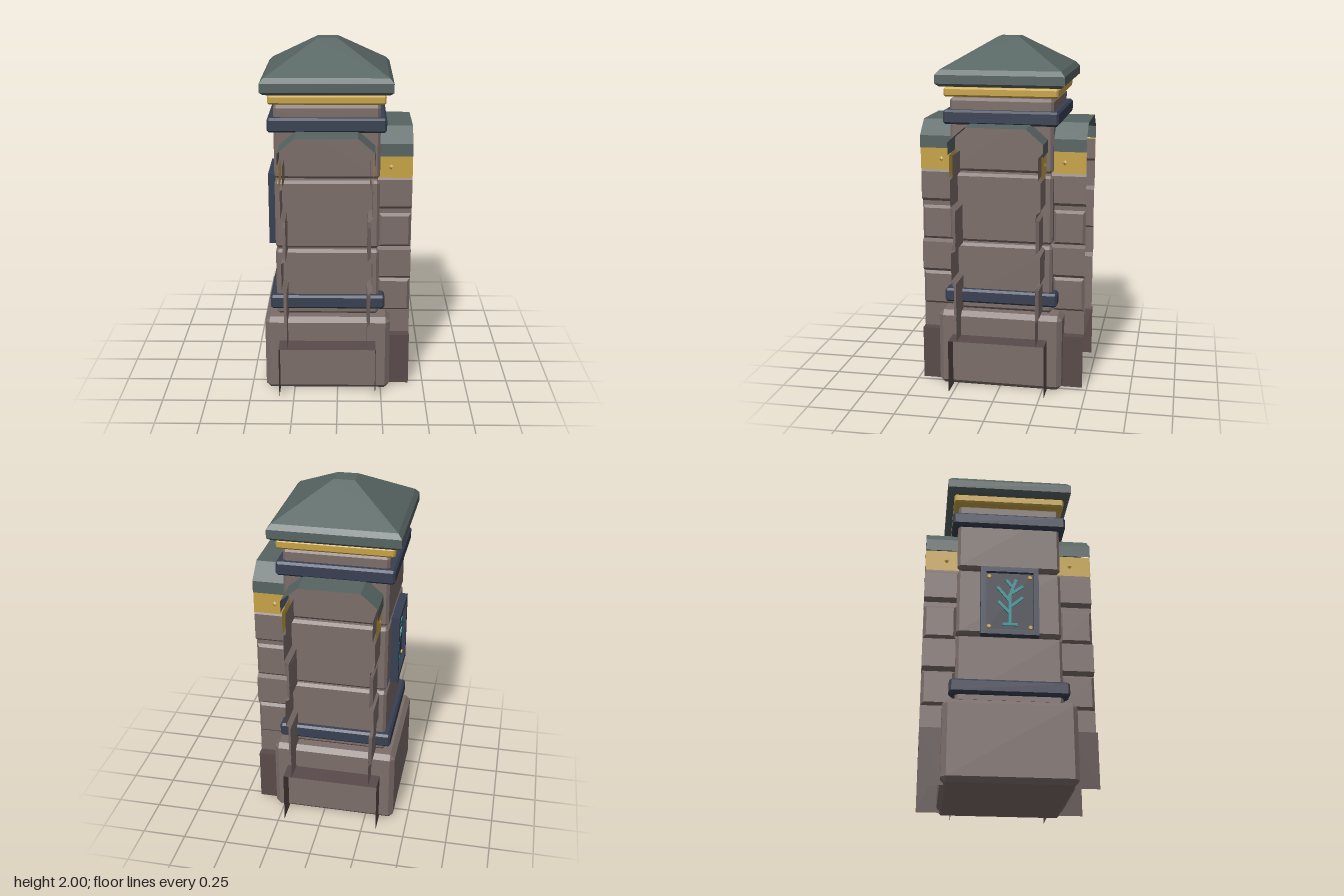
import * as THREE from 'three';
import { ConvexGeometry } from 'three/addons/geometries/ConvexGeometry.js';

const CX = -0.058; // centre line of the pillar in x

function makeMaterials() {
  const colours = {
    stone: 0x7c6e6a, darkStone: 0x5a4b4a, slate: 0x566462, gold: 0xc8a447,
    navy: 0x384052, darkPanel: 0x2c3240, teal: 0x108a90,
  };
  const mats = {};
  for (const [name, color] of Object.entries(colours)) {
    mats[name] = new THREE.MeshStandardMaterial({ color });
    mats[name].name = name;
  }
  // thin open shells use these
  for (const n of ['stone', 'darkStone', 'slate', 'gold']) mats[n].side = THREE.DoubleSide;
  return mats;
}

function add(parent, name, geometry, material) {
  const mesh = new THREE.Mesh(geometry, material);
  mesh.name = name;
  parent.add(mesh);
  return mesh;
}

// Box with every edge chamfered by b
function chamferBox(w, y0, y1, d, b) {
  const h = [w / 2, (y1 - y0) / 2, d / 2];
  const pts = [];
  for (const sx of [-1, 1]) for (const sy of [-1, 1]) for (const sz of [-1, 1]) {
    for (let full = 0; full < 3; full++) {
      const p = h.map((v, i) => (i === full ? v : v - b));
      pts.push(new THREE.Vector3(p[0] * sx, p[1] * sy, p[2] * sz));
    }
  }
  return new ConvexGeometry(pts).translate(0, (y0 + y1) / 2, 0);
}

// Stack of rectangles [halfX, y, halfZ] wrapped as one solid
function stackedSolid(levels) {
  const pts = [];
  for (const [hx, y, hz] of levels)
    for (const sx of [-1, 1]) for (const sz of [-1, 1])
      pts.push(new THREE.Vector3(sx * hx, y, sz * hz));
  return new ConvexGeometry(pts);
}

// Open sheet: a polyline in x,y swept along z
function sheet(line, z0, z1) {
  const pos = [];
  for (let i = 0; i + 1 < line.length; i++) {
    const [a, b] = [line[i], line[i + 1]];
    pos.push(...a, z0, ...b, z0, ...b, z1, ...a, z0, ...b, z1, ...a, z1);
  }
  const g = new THREE.BufferGeometry();
  g.setAttribute('position', new THREE.Float32BufferAttribute(pos, 3));
  g.computeVertexNormals();
  return g;
}

const mirrorLine = (line) => line.map(([x, y]) => [-x, y]).reverse();

// Bevelled stone panel on the side of a wall stub
function panel(side, y0, y1, z0, z1) {
  const pts = [];
  for (const [x, inset] of [[0.224, 0], [0.241, 0.016]])
    for (const y of [y0 + inset, y1 - inset]) for (const z of [z0 + inset, z1 - inset])
      pts.push(new THREE.Vector3(side * x, y, z));
  return new ConvexGeometry(pts);
}

// Open-ended wall stub that reaches out along +z
function wallStub(m) {
  const g = new THREE.Group();
  g.name = 'wallStub';
  const end = 0.473;
  const wall = [[0.225, 0.31], [0.225, 0.65], [0.25, 0.67], [0.25, 0.83], [0.225, 0.845],
    [0.225, 1.07], [0.25, 1.09], [0.25, 1.245], [0.235, 1.26], [0.235, 1.38]];
  const trim = [[0.254, 1.26], [0.254, 1.385]];
  for (const side of [1, -1]) {
    const pick = (line) => (side > 0 ? line : mirrorLine(line));
    add(g, 'stubWall', sheet(pick(wall), 0.28, end), m.stone);
    add(g, 'stubTrim', sheet(pick(trim), 0.28, end), m.gold);
    for (const y of [0.45, 0.845]) add(g, 'stubPanel', panel(side, y, y + 0.2, 0.29, end), m.stone);
    // small pointed stud on the trim
    const stud = new THREE.ConeGeometry(0.017, 0.012, 4).rotateZ(-side * Math.PI / 2);
    add(g, 'trimStud', stud, m.gold).position.set(side * 0.259, 1.322, 0.353);
  }
  const plinth = [[0.275, 0], [0.275, 0.31], [-0.275, 0.31], [-0.275, 0]];
  add(g, 'stubPlinth', sheet(plinth, 0.34, end), m.darkStone);
  const roof = [[0.262, 1.385], [0.262, 1.455], [0.168, 1.537],
    [-0.168, 1.537], [-0.262, 1.455], [-0.262, 1.385]];
  add(g, 'stubRoof', sheet(roof, 0.27, end), m.slate);
  return g;
}

// Framed plaque with a branching emblem; faces +z before it is turned
function plaque(m) {
  const g = new THREE.Group();
  g.name = 'plaque';
  const bar = (name, w, h, d, x, y, z, mat) =>
    add(g, name, new THREE.BoxGeometry(w, h, d), mat).position.set(x, y, z);
  bar('plaquePanel', 0.3, 0.39, 0.026, 0, 1.045, 0.302, m.darkPanel);
  for (const s of [-1, 1]) {
    bar('frameUpright', 0.03, 0.416, 0.046, s * 0.147, 1.045, 0.314, m.navy);
    bar('frameRail', 0.264, 0.03, 0.046, 0, 1.045 + s * 0.193, 0.314, m.navy);
    for (const t of [-1, 1]) {
      const stud = new THREE.CylinderGeometry(0.011, 0.013, 0.01, 8).rotateX(Math.PI / 2);
      add(g, 'plaqueStud', stud, m.gold).position.set(s * 0.115, 1.045 + t * 0.155, 0.319);
    }
  }
  // emblem strokes: x0, y0, x1, y1
  const strokes = [
    [0, 0.91, 0, 1.08], [0, 1.08, 0.035, 1.18], [-0.035, 0.905, 0.035, 0.905],
    [0, 0.975, -0.06, 1.04], [0, 1.01, 0.07, 1.07], [0, 1.05, -0.065, 1.13],
    [0.015, 1.1, 0.07, 1.14], [0.02, 1.13, -0.015, 1.175],
  ];
  for (const [x0, y0, x1, y1] of strokes) {
    const len = Math.hypot(x1 - x0, y1 - y0);
    const stroke = add(g, 'emblemStroke', new THREE.BoxGeometry(len + 0.012, 0.017, 0.008), m.teal);
    stroke.position.set((x0 + x1) / 2, (y0 + y1) / 2, 0.318);
    stroke.rotation.z = Math.atan2(y1 - y0, x1 - x0);
  }
  return g;
}

export function createModel() {
  const m = makeMaterials();
  const model = new THREE.Group();
  model.name = 'gatePillar';
  const pillar = new THREE.Group();
  pillar.name = 'pillar';
  pillar.position.x = CX;
  model.add(pillar);

  // stone base and three stacked shaft blocks with narrow joints
  add(pillar, 'base', chamferBox(0.716, 0, 0.45, 0.716, 0.027), m.stone);
  for (const [y0, y1] of [[0.45, 0.843], [0.853, 1.25], [1.262, 1.675]])
    add(pillar, 'shaftBlock', chamferBox(0.584, y0, y1, 0.584, 0.016), m.stone);

  // bands around the shaft
  add(pillar, 'lowerBand', chamferBox(0.65, 0.495, 0.575, 0.65, 0.012), m.navy);
  add(pillar, 'upperBand', chamferBox(0.65, 1.53, 1.61, 0.65, 0.012), m.navy);
  add(pillar, 'goldBand', chamferBox(0.64, 1.683, 1.735, 0.64, 0.01), m.gold);

  // hipped cap
  add(pillar, 'capRoof', stackedSolid([[0.338, 1.74, 0.338], [0.359, 1.757, 0.359],
    [0.359, 1.805, 0.359], [0.336, 1.832, 0.336], [0.057, 2, 0.057]]), m.slate);

  // wall stubs on the front, left and back
  for (const turn of [0, 1, 2]) {
    const stub = wallStub(m);
    stub.rotation.y = turn * Math.PI / 2;
    pillar.add(stub);
  }

  // plaque on the right side
  const sign = plaque(m);
  sign.rotation.y = -Math.PI / 2;
  pillar.add(sign);
  return model;
}
